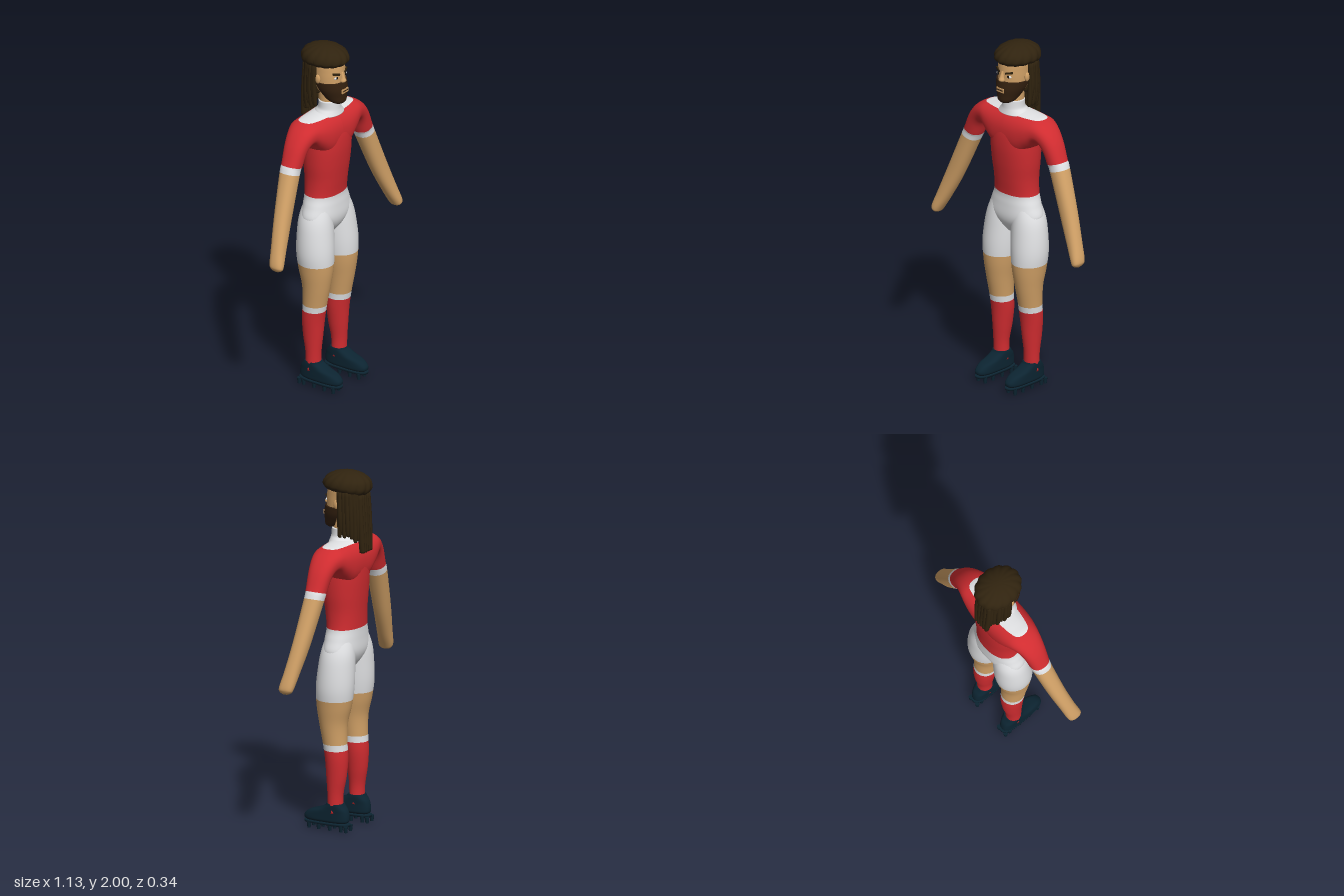
import * as THREE from 'three';

const mat = (name, color, side = THREE.FrontSide) => {
  const m = new THREE.MeshStandardMaterial({ color, side });
  m.name = name;
  return m;
};
const M = {
  red: mat('kit red', 0xd02c30),
  white: mat('kit white', 0xe0e1e3),
  skin: mat('skin', 0xd0a066),
  hair: mat('dark brown hair', 0x30230f),
  beard: mat('beard brown', 0x33200f, THREE.DoubleSide),
  boot: mat('boot navy', 0x0c2431),
  eye: mat('eye black', 0x15110d),
};

// Skin over oval cross-sections [ax, ay, bx, by, z, rz]: a and b are opposite
// edge points in the front plane, z and rz the centre and half depth.
function loft(secs, { side = 1, n = 2, seg = 40, steps = 6, caps = [1, 1] } = {}) {
  if (side < 0) secs = secs.map(([ax, ay, bx, by, z, r]) => [-bx, by, -ax, ay, z, r]);
  const rows = [];
  const last = secs.length - 1;
  for (let k = 0; k <= last * steps; k++) {
    const i = Math.min(Math.floor(k / steps), last - 1), t = k / steps - i;
    const [p, q, r, s] = [i - 1, i, i + 1, i + 2].map(j => secs[Math.min(Math.max(j, 0), last)]);
    rows.push(q.map((v, c) => 0.5 * (2 * v + (r[c] - p[c]) * t
      + (2 * p[c] - 5 * v + 4 * r[c] - s[c]) * t * t
      + (3 * v - p[c] - 3 * r[c] + s[c]) * t * t * t)));
  }
  const point = ([ax, ay, bx, by, z]) => [(ax + bx) / 2, (ay + by) / 2, (ax + bx) / 2, (ay + by) / 2, z, 0];
  if (caps[0]) rows.unshift(point(rows[0]));
  if (caps[1]) rows.push(point(rows[rows.length - 1]));
  const pos = [], idx = [];
  const pow = v => Math.sign(v) * Math.abs(v) ** (2 / n);
  rows.forEach(([ax, ay, bx, by, z, rz], i) => {
    for (let j = 0; j < seg; j++) {
      const a = j / seg * Math.PI * 2, c = pow(Math.cos(a)) / 2;
      pos.push((ax + bx) / 2 + (bx - ax) * c, (ay + by) / 2 + (by - ay) * c, z + rz * pow(Math.sin(a)));
      if (i < rows.length - 1) {
        const p = i * seg + j, q = i * seg + (j + 1) % seg;
        idx.push(p, p + seg, q, q, p + seg, q + seg);
      }
    }
  });
  const g = new THREE.BufferGeometry();
  g.setAttribute('position', new THREE.Float32BufferAttribute(pos, 3));
  g.setIndex(idx);
  g.computeVertexNormals();
  return g;
}

// Upright section: centre x, height, half width, z centre, half depth
const up = (x, y, w, z, r) => [x - w, y, x + w, y, z, r];

// Cut a geometry along a plane, returning [front part, back part]
function slice(geo, plane) {
  const g = geo.index ? geo.toNonIndexed() : geo;
  const P = g.attributes.position.array, N = g.attributes.normal.array;
  return [1, -1].map(sign => {
    const pos = [], nor = [];
    for (let i = 0; i < P.length; i += 9) {
      const poly = [];
      const tri = [0, 3, 6].map(o => [...P.slice(i + o, i + o + 3), ...N.slice(i + o, i + o + 3)]);
      const d = tri.map(v => sign * (plane.normal.x * v[0] + plane.normal.y * v[1] + plane.normal.z * v[2] + plane.constant));
      for (let k = 0; k < 3; k++) {
        const m = (k + 1) % 3;
        if (d[k] >= 0) poly.push(tri[k]);
        if ((d[k] >= 0) !== (d[m] >= 0)) {
          const t = d[k] / (d[k] - d[m]);
          poly.push(tri[k].map((v, c) => v + (tri[m][c] - v) * t));
        }
      }
      for (let k = 1; k + 1 < poly.length; k++)
        for (const v of [poly[0], poly[k], poly[k + 1]]) { pos.push(v[0], v[1], v[2]); nor.push(v[3], v[4], v[5]); }
    }
    const out = new THREE.BufferGeometry();
    out.setAttribute('position', new THREE.Float32BufferAttribute(pos, 3));
    out.setAttribute('normal', new THREE.Float32BufferAttribute(nor, 3));
    return out;
  });
}
const planeAt = (nx, ny, nz, x, y, z) => new THREE.Plane().setFromNormalAndCoplanarPoint(
  new THREE.Vector3(nx, ny, nz).normalize(), new THREE.Vector3(x, y, z));
const above = y => planeAt(0, 1, 0, 0, y, 0);

export function createModel() {
  const root = new THREE.Group();
  const add = (name, geo, material, x = 0, y = 0, z = 0) => {
    const m = new THREE.Mesh(geo, material);
    m.name = name;
    m.position.set(x, y, z);
    root.add(m);
    return m;
  };
  // Split one surface into coloured bands: [name, material, plane]
  const bands = (geo, list) => list.forEach(([name, material, plane]) => {
    let part = geo;
    if (plane) [part, geo] = slice(geo, plane);
    add(name, part, material);
  });
  const ball = (name, material, x, y, z, sx, sy, sz) =>
    add(name, new THREE.SphereGeometry(1, 20, 14), material, x, y, z).scale.set(sx, sy, sz);

  // Torso and hips
  bands(loft([
    up(0, 0.9, 0.04, -0.02, 0.05), up(0, 0.95, 0.12, -0.02, 0.083), up(0, 1.0, 0.178, -0.022, 0.098),
    up(0, 1.07, 0.158, -0.024, 0.097), up(0, 1.13, 0.138, -0.026, 0.095), up(0, 1.22, 0.135, -0.022, 0.102),
    up(0, 1.32, 0.145, -0.019, 0.112), up(0, 1.42, 0.15, -0.018, 0.118), up(0, 1.51, 0.148, -0.02, 0.113),
    up(0, 1.57, 0.12, -0.022, 0.09), up(0, 1.6, 0.08, -0.022, 0.05),
  ], { n: 2.2 }), [['shirtBody', M.red, above(1.13)], ['shortsHips', M.white]]);

  // Collar and neck
  add('collar', loft([up(0, 1.6, 0.1, -0.01, 0.08), up(0, 1.622, 0.078, -0.004, 0.068),
    up(0, 1.64, 0.066, 0, 0.061), up(0, 1.68, 0.064, 0, 0.058)]), M.white);
  add('neck', new THREE.CylinderGeometry(0.056, 0.056, 0.14, 32), M.skin, 0, 1.73, -0.004);

  for (const s of [1, -1]) {
    const side = s > 0 ? 'left' : 'right';

    // Shoulder, sleeve and arm as one surface
    bands(loft([
      [0, 1.625, 0, 1.36, -0.021, 0.116], [0.08, 1.619, 0.08, 1.37, -0.022, 0.115],
      [0.15, 1.613, 0.14, 1.42, -0.024, 0.107], [0.21, 1.603, 0.188, 1.468, -0.025, 0.093],
      [0.272, 1.565, 0.218, 1.467, -0.022, 0.078], [0.325, 1.5, 0.243, 1.435, -0.02, 0.066],
      [0.367, 1.41, 0.267, 1.375, -0.018, 0.057], [0.39, 1.362, 0.287, 1.333, -0.017, 0.054],
      [0.478, 1.14, 0.385, 1.105, 0.006, 0.046], [0.535, 0.985, 0.46, 0.958, 0.028, 0.042],
      [0.563, 0.9, 0.507, 0.878, 0.042, 0.042], [0.561, 0.872, 0.52, 0.86, 0.045, 0.033],
      [0.548, 0.857, 0.535, 0.854, 0.046, 0.012],
    ], { side: s, n: 2.3, caps: [0, 1] }), [
      [side + 'Yoke', M.white, above(1.603)],
      [side + 'Sleeve', M.red, planeAt(-0.29 * s, 0.956, 0, 0.32 * s, 1.387, 0)],
      [side + 'Cuff', M.white, planeAt(-0.29 * s, 0.956, 0, 0.338 * s, 1.35, 0)],
      [side + 'Arm', M.skin],
    ]);

    // Leg with shorts, bare knee and sock
    const leg = (xi, xo, y, zb, zf) => [xi, y, xo, y, (zb + zf) / 2, (zf - zb) / 2];
    bands(loft([
      leg(0.07, 0.16, 0.1, -0.065, 0.02), leg(0.073, 0.16, 0.2, -0.066, 0.022), leg(0.06, 0.166, 0.3, -0.083, 0.03),
      leg(0.048, 0.173, 0.4, -0.09, 0.038), leg(0.045, 0.176, 0.49, -0.085, 0.052), leg(0.035, 0.186, 0.6, -0.086, 0.073),
      leg(0.018, 0.2, 0.7, -0.108, 0.088), leg(0.006, 0.21, 0.8, -0.121, 0.091), leg(0, 0.202, 0.91, -0.122, 0.082),
      leg(0, 0.183, 1.0, -0.118, 0.07), leg(0.01, 0.14, 1.09, -0.1, 0.05),
    ], { side: s }), [
      [side + 'ShortsLeg', M.white, above(0.738)], [side + 'Knee', M.skin, above(0.488)],
      [side + 'SockTop', M.white, above(0.453)], [side + 'Sock', M.red],
    ]);

    // Boot, sole plate and studs
    const x = 0.115 * s;
    const ring = (y, w, zb, zf) => up(x, y, w, (zb + zf) / 2, (zf - zb) / 2);
    add(side + 'Boot', loft([
      ring(0.045, 0.036, -0.09, 0.155), ring(0.055, 0.044, -0.102, 0.166), ring(0.075, 0.045, -0.104, 0.164),
      ring(0.1, 0.045, -0.1, 0.135), ring(0.12, 0.045, -0.092, 0.075), ring(0.14, 0.045, -0.076, 0.034),
      ring(0.152, 0.043, -0.068, 0.024),
    ], { n: 2.8 }), M.boot);
    add(side + 'SolePlate', loft([ring(0.03, 0.04, -0.11, 0.166), ring(0.043, 0.042, -0.11, 0.168)],
      { n: 3, steps: 1 }), M.boot);
    for (const z of [0.13, 0.07, 0.0, -0.07, -0.1])
      for (const dx of [-0.026, 0.026])
        add(side + 'Stud', new THREE.CylinderGeometry(0.013, 0.009, 0.034, 10), M.boot, x + dx, 0.017, z);

    // Ear, eye and brow
    ball(side + 'Ear', M.skin, 0.092 * s, 1.825, -0.012, 0.01, 0.026, 0.017);
    ball(side + 'EyeWhite', M.white, 0.039 * s, 1.834, 0.074, 0.017, 0.008, 0.007);
    ball(side + 'Pupil', M.eye, 0.038 * s, 1.835, 0.079, 0.008, 0.008, 0.005);
    const brow = add(side + 'Brow', new THREE.BoxGeometry(0.044, 0.01, 0.009), M.hair, 0.042 * s, 1.857, 0.077);
    brow.rotation.set(0, 0.42 * s, 0.22 * s);
  }

  // Head and nose
  add('head', loft([up(0, 1.69, 0.03, 0.05, 0.03), up(0, 1.71, 0.055, 0.035, 0.055), up(0, 1.75, 0.075, 0.01, 0.08),
    up(0, 1.8, 0.085, 0, 0.087), up(0, 1.86, 0.089, -0.01, 0.096), up(0, 1.92, 0.088, -0.02, 0.095),
    up(0, 1.96, 0.05, -0.02, 0.06)]), M.skin);
  add('nose', loft([up(0, 1.8, 0.012, 0.088, 0.01), up(0, 1.811, 0.018, 0.092, 0.018),
    up(0, 1.83, 0.012, 0.088, 0.015), up(0, 1.86, 0.009, 0.08, 0.01)], { seg: 16 }), M.skin);

  // Beard with mouth
  add('beard', slice(loft([up(0, 1.676, 0.03, 0.06, 0.03), up(0, 1.69, 0.05, 0.05, 0.052),
    up(0, 1.72, 0.066, 0.03, 0.074), up(0, 1.76, 0.083, 0.012, 0.093), up(0, 1.803, 0.09, 0.001, 0.095)]),
  planeAt(0, 0.48, 0.87, 0, 1.77, -0.02))[0], M.beard);
  add('mouth', new THREE.BoxGeometry(0.054, 0.024, 0.009), M.skin, 0, 1.754, 0.102);
  add('lipLine', new THREE.BoxGeometry(0.046, 0.005, 0.004), M.beard, 0, 1.755, 0.107);

  // Lobed mop of hair, lower at the back
  const mop = new THREE.SphereGeometry(1, 96, 32);
  const p = mop.attributes.position;
  for (let i = 0; i < p.count; i++) {
    const x = p.getX(i), y = p.getY(i), z = p.getZ(i);
    const lobe = 0.97 + 0.055 * Math.abs(Math.sin(7 * Math.atan2(z, x) + 1.5 * y));
    const drop = y < 0.3 ? (0.3 - y) * Math.max(-z, 0) * 0.025 : 0;
    p.setXYZ(i, x * lobe * 0.114, y * (y < 0 ? 0.05 : 0.075) - drop, z * lobe * 0.138);
  }
  mop.computeVertexNormals();
  add('hairTop', mop, M.hair, 0, 1.925, -0.03);
  add('hairBack', loft([up(0, 1.72, 0.07, -0.07, 0.055), up(0, 1.8, 0.09, -0.075, 0.068),
    up(0, 1.9, 0.094, -0.07, 0.075)]), M.hair);

  // Hanging locks round the sides and back
  for (let i = 0; i < 19; i++) {
    const a = (i / 18 - 0.5) * Math.PI * 1.08, c = Math.max(Math.cos(a), 0), wob = Math.sin(i * 2.7);
    const x = 0.102 * Math.sin(a), z = -0.032 - 0.108 * c;
    const end = 1.655 - 0.06 * c * c + 0.014 * wob;
    add('lock', loft([
      up(x * 0.85, end, 0.006, z - 0.006 * c, 0.007), up(x * 0.88, end + 0.02, 0.012, z - 0.004 * c, 0.012),
      up(x * 0.96 + 0.004 * wob, (end + 1.88) / 2, 0.013, z - 0.002, 0.014), up(x * 0.95, 1.9, 0.013, z + 0.01 * c, 0.014),
    ], { seg: 10, steps: 4 }), M.hair);
  }

  // Broad tail down the back
  for (let i = -2; i <= 2; i++)
    add('tailLock', loft([up(i * 0.02, 1.56, 0.012, -0.146, 0.016), up(i * 0.021, 1.62, 0.015, -0.143, 0.017),
      up(i * 0.023, 1.75, 0.015, -0.138, 0.016), up(i * 0.022, 1.88, 0.013, -0.132, 0.014)], { seg: 12, steps: 4 }), M.hair);

  return root;
}
